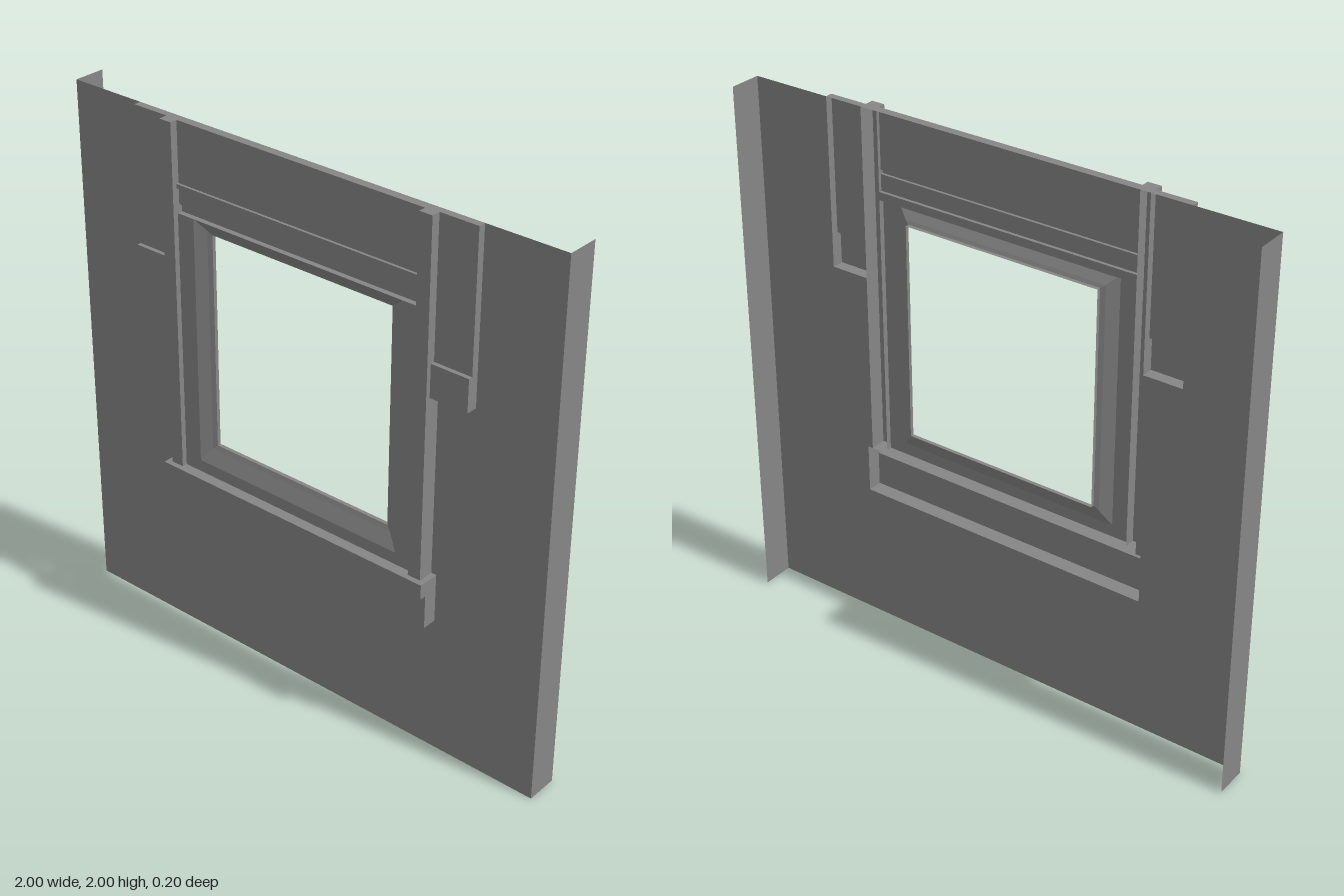
import * as THREE from 'three';

const material = new THREE.MeshStandardMaterial({ color: 0x868686, flatShading: true, side: THREE.DoubleSide });

function addMesh(parent, name, geometry) {
  const mesh = new THREE.Mesh(geometry, material);
  mesh.name = name;
  parent.add(mesh);
}

// Flat-faced sheet joining two matching polylines of [x, y, z] points
function ribbon(a, b) {
  const pos = [];
  for (let i = 0; i < a.length - 1; i++) {
    pos.push(...a[i], ...b[i], ...b[i + 1], ...a[i], ...b[i + 1], ...a[i + 1]);
  }
  const g = new THREE.BufferGeometry();
  g.setAttribute('position', new THREE.Float32BufferAttribute(pos, 3));
  g.computeVertexNormals();
  return g;
}

// Horizontal moulding: profile of [z, y], listed from the top down, swept from x0 to x1
const moulding = (profile, x0, x1) => ribbon(
  profile.map(([z, y]) => [x1, y, z]),
  profile.map(([z, y]) => [x0, y, z]));

// Upright moulding: profile of [x, z] swept from y0 to y1
const upright = (profile, y0, y1) => ribbon(
  profile.map(([x, z]) => [x, y1, z]),
  profile.map(([x, z]) => [x, y0, z]));

const flat = (points) => new THREE.ShapeGeometry(
  new THREE.Shape(points.map(([x, y]) => new THREE.Vector2(x, y))));

// Half an outline on the +x side, completed by its mirror image
const mirrored = (half) => [...half, ...half.map(([x, y]) => [-x, y]).reverse()];

// End face of a horizontal moulding at a given x
const endCap = (profile, x) => flat(profile).rotateY(-Math.PI / 2).translate(x, 0, 0);

// Closed rectangular loop at depth z
const loop = (x, y0, y1, z) =>
  [[-x, y0, z], [x, y0, z], [x, y1, z], [-x, y1, z], [-x, y0, z]];

export function createModel() {
  const model = new THREE.Group();
  model.name = 'windowWall';

  const wallZ = 0.02, panelZ = 0.052, pilasterZ = 0.047, casingZ = 0.08, frameZ = 0.06;

  // Wall sheet, cut out behind the raised trim
  addMesh(model, 'wall', flat(mirrored([[1, 0], [1, 2], [0.7, 2], [0.7, 1.38], [0.555, 1.38],
    [0.555, 0.705], [0.575, 0.705], [0.575, 0.522]])).translate(0, 0, wallZ));

  // Top edge closing the raised trim back to the wall
  const topOutline = mirrored([[0.7, wallZ], [0.7, pilasterZ], [0.555, pilasterZ],
    [0.555, casingZ], [0.505, casingZ], [0.505, panelZ]]);
  addMesh(model, 'trimTop', flat(topOutline.map(([x, z]) => [x, -z]))
    .rotateX(-Math.PI / 2).translate(0, 2, 0));

  // Stepped head above the window: panel, fillet, band and groove
  const head = [[panelZ, 2], [panelZ, 1.78], [0.062, 1.78], [0.062, 1.765], [panelZ, 1.765],
    [panelZ, 1.705], [0.04, 1.705], [0.04, 1.675], [frameZ, 1.675]];
  addMesh(model, 'windowHead', moulding(head, -0.505, 0.505));

  // Flat surround beside and below the opening
  addMesh(model, 'windowSurround', flat(mirrored([
    [0.505, 0.705], [0.505, 1.675], [0.435, 1.675], [0.435, 0.75],
  ])).translate(0, 0, frameZ));

  // Splayed reveal stepping back to a thin square lip
  const rings = [
    ['outerReveal', loop(0.435, 0.75, 1.675, frameZ)],
    ['innerReveal', loop(0.395, 0.803, 1.638, 0.038)],
    ['openingLip', loop(0.378, 0.82, 1.625, 0.032)],
    ['', loop(0.378, 0.82, 1.625, 0.018)],
  ];
  for (let i = 0; i < 3; i++) addMesh(model, rings[i][0], ribbon(rings[i + 1][1], rings[i][1]));

  // Sill with apron
  const sill = [[wallZ, 0.705], [0.1, 0.705], [0.1, 0.65], [0.075, 0.65], [0.075, 0.522], [wallZ, 0.522]];
  addMesh(model, 'sill', moulding(sill, -0.575, 0.575));

  // Paired parts
  const pilaster = [[pilasterZ, 2], [pilasterZ, 1.5], [0.063, 1.5], [0.063, 1.38], [wallZ, 1.38]];
  for (const [s, side] of [[1, 'left'], [-1, 'right']]) {
    addMesh(model, side + 'WallReturn', upright([[s, wallZ], [s, -0.1]], 0, 2));
    addMesh(model, side + 'Casing', upright(
      [[0.505 * s, 0.04], [0.505 * s, casingZ], [0.555 * s, casingZ], [0.555 * s, wallZ]], 0.705, 2));
    addMesh(model, side + 'Pilaster', moulding(pilaster, 0.555 * s, 0.7 * s));
    addMesh(model, side + 'PilasterSide', endCap([[wallZ, 2], ...pilaster], 0.7 * s));
    addMesh(model, side + 'SillEnd', endCap(sill, 0.575 * s));
  }
  return model;
}
